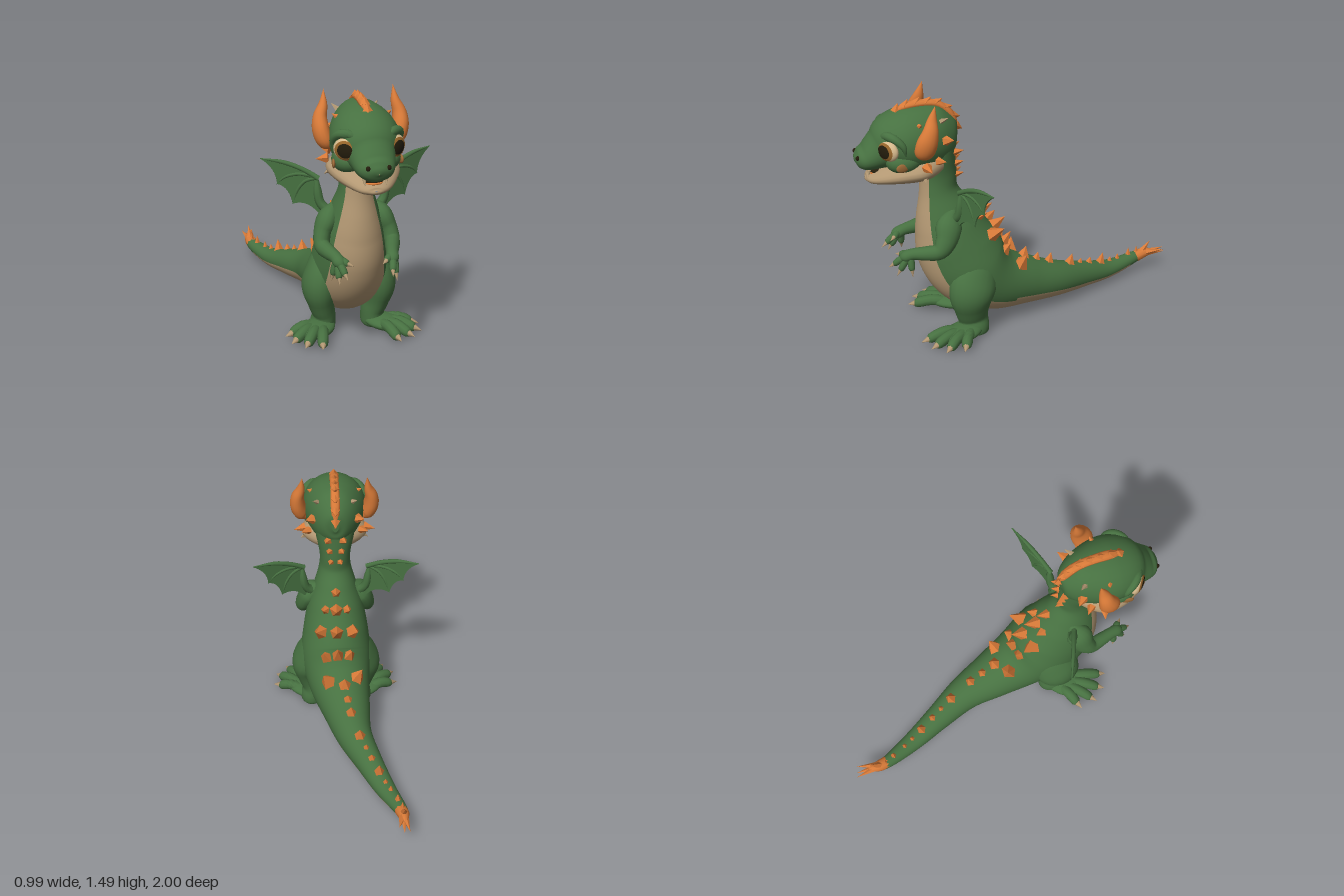
import * as THREE from 'three';

const mat = (name, color) => Object.assign(new THREE.MeshStandardMaterial({ color }), { name });
const V = (x, y, z) => new THREE.Vector3(x, y, z);

export function createModel() {
  const root = new THREE.Group();
  root.name = 'dragon';
  const green = mat('green skin', 0x477141);
  const tan = mat('tan belly and claws', 0xb39873);
  const orange = mat('orange horn', 0xd87a38);
  const dark = mat('dark pupil', 0x231c0c);
  const iris = mat('brown iris', 0x96652a);
  const cream = mat('cream eye', 0xd6b98c);
  const blush = mat('brown cheek', 0x9a6836);

  function add(name, geo, material) {
    const m = new THREE.Mesh(geo, material);
    m.name = name;
    root.add(m);
    return m;
  }

  // Smooth skin over stations [x, y, z, halfWidth, halfDepth]
  function skin(st) {
    const path = new THREE.CatmullRomCurve3(st.map(p => V(p[0], p[1], p[2])), false, 'catmullrom');
    const size = new THREE.CatmullRomCurve3(st.map(p => V(p[3], p[4], 0)), false, 'catmullrom');
    return (u, a) => {
      const c = path.getPoint(u), r = size.getPoint(u), t = path.getTangent(u);
      const s = V(1, 0, 0).addScaledVector(t, -t.x).normalize();
      const f = t.clone().cross(s);
      const normal = s.clone().multiplyScalar(Math.sin(a)).addScaledVector(f, Math.cos(a));
      const point = c.addScaledVector(s, Math.sin(a) * Math.max(r.x, 0.0005))
        .addScaledVector(f, Math.cos(a) * Math.max(r.y, 0.0005));
      return { point, normal };
    };
  }

  // isSecond(u, a) picks the faces that take the second material
  function loft(name, st, material, sides = 16, per = 4, isSecond = null) {
    const at = skin(st), rows = (st.length - 1) * per;
    const pos = [], faces = [[], []];
    for (let i = 0; i <= rows; i++)
      for (let j = 0; j < sides; j++) pos.push(...at(i / rows, (j / sides) * Math.PI * 2).point.toArray());
    for (let i = 0; i < rows; i++)
      for (let j = 0; j < sides; j++) {
        const k = (j + 1) % sides, a = i * sides + j, b = i * sides + k, c = a + sides, d = b + sides;
        const second = isSecond && isSecond(i / rows, ((j + 0.5) / sides) * Math.PI * 2);
        faces[second ? 1 : 0].push(a, c, b, b, c, d);
      }
    const g = new THREE.BufferGeometry();
    g.setAttribute('position', new THREE.Float32BufferAttribute(pos, 3));
    g.setIndex([...faces[0], ...faces[1]]);
    if (isSecond) {
      g.addGroup(0, faces[0].length, 0);
      g.addGroup(faces[0].length, faces[1].length, 1);
    }
    g.computeVertexNormals();
    add(name, g, material);
    return at;
  }

  // Cone from base to tip; few sides give a faceted spike
  function spike(name, base, tip, r, material, sides = 5) {
    const dir = tip.clone().sub(base), h = dir.length();
    let g = new THREE.ConeGeometry(r, h, sides);
    g.translate(0, h / 2, 0);
    if (sides < 6) { g = g.toNonIndexed(); g.computeVertexNormals(); }
    const m = add(name, g, material);
    m.quaternion.setFromUnitVectors(V(0, 1, 0), dir.normalize());
    m.position.copy(base);
  }

  function ball(name, p, s, material, turn = 0) {
    const m = add(name, new THREE.SphereGeometry(1, 24, 16), material);
    m.position.set(...p);
    m.scale.set(...s);
    m.rotation.y = turn;
  }

  // Toe or finger with a claw
  function digit(name, from, to, r, claw) {
    const mid = from.clone().lerp(to, 0.5).add(V(0, r * 0.5, 0)), d = to.clone().sub(from).normalize();
    const end = to.clone().addScaledVector(d, r * 0.6);
    loft(name, [[...from, r, r], [...mid, r, r], [...to, r * 0.85, r * 0.85], [...end, 0, 0]], green, 10, 3);
    spike(name + 'Claw', to, to.clone().addScaledVector(d, claw).add(V(0, -0.008, 0)), r * 0.7, tan, 8);
  }

  // Neck, torso and tail in one skin, tan underneath
  const spine = [
    [0, 1.27, .53, .135, .10], [0, 1.12, .53, .114, .106], [0, 1.0, .525, .093, .108], [0, .9, .525, .098, .113],
    [0, .79, .505, .13, .155], [0, .67, .475, .168, .20], [0, .52, .425, .198, .245], [0, .37, .34, .215, .245],
    [-.015, .265, .20, .19, .20], [-.05, .205, 0, .148, .15], [-.09, .16, -.2, .108, .112],
    [-.17, .118, -.4, .08, .083], [-.255, .085, -.6, .06, .055], [-.335, .10, -.8, .036, .035], [-.345, .12, -.87, .012, .012]];
  const last = spine.length - 1;
  const body = loft('body', spine, [green, tan], 48, 8,
    (u, a) => u < 12.6 / last && Math.cos(a) > THREE.MathUtils.lerp(.58, .32, THREE.MathUtils.smoothstep(u * last, 6.5, 8.5)));

  // Back spikes: [station, sideways angle, height, radius]
  const backSpikes = [[4.1, 0, .07, .034], [5, 0, .085, .044], [6, 0, .085, .046], [7.4, 0, .08, .042], [8.75, 0, .06, .046],
    [9.2, 0, .04, .035], [9.65, 0, .055, .038], [10.4, 0, .06, .04], [10.8, 0, .03, .025], [11.15, 0, .035, .03],
    [11.6, 0, .065, .035], [12, 0, .03, .022], [12.3, 0, .035, .02], [12.7, 0, .045, .022], [13.1, 0, .04, .016]];
  for (const s of [-1, 1]) backSpikes.push([5, s * .4, .05, .034], [6, s * .5, .085, .05], [7.4, s * .35, .055, .042],
    [8.5, s * .55, .08, .052], [.9, s * .4, .055, .03], [1.5, s * .35, .05, .027], [2.1, s * .3, .045, .025]);
  for (const [i, off, h, r] of backSpikes) {
    const { point, normal } = body(i / last, Math.PI + off);
    const dir = normal.clone().add(V(0, .35, -.2)).normalize();
    spike('backSpike', point.clone().addScaledVector(normal, -.014), point.clone().addScaledVector(dir, h), r, orange);
  }

  // Tail tuft
  loft('tailCap', [[-.333, .1, -.8, .038, .036], [-.343, .112, -.85, .034, .032], [-.345, .12, -.9, .02, .02], [-.345, .12, -.92, 0, 0]], orange, 10, 3);
  for (const t of [[-.37, .125, -1], [-.34, .11, -.995], [-.31, .14, -.98], [-.345, .195, -.9]])
    spike('tailSpike', V(-.343, .113, -.835), V(...t), .028, orange);

  // Skull and lower jaw
  const head = loft('head', [[0, 1.25, .41, .02, .04], [0, 1.25, .43, .075, .1], [0, 1.245, .5, .132, .17], [0, 1.24, .6, .174, .19],
    [0, 1.235, .7, .19, .185], [0, 1.222, .78, .174, .162], [0, 1.185, .85, .13, .118], [0, 1.15, .92, .11, .081],
    [0, 1.138, .965, .088, .062], [0, 1.133, .99, .05, .035], [0, 1.13, 1, .004, .004]], green, 28, 5);
  loft('jaw', [[0, 1.1, .46, .05, .03], [0, 1.09, .54, .14, .07], [0, 1.078, .63, .197, .08], [0, 1.065, .74, .187, .075],
    [0, 1.043, .83, .145, .056], [0, 1.024, .9, .095, .036], [0, 1.02, .935, .05, .02], [0, 1.022, .945, .005, .004]], tan, 24, 4);
  ball('mouth', [0, 1.06, .83], [.075, .03, .09], dark);
  ball('tongue', [0, 1.054, .87], [.06, .014, .056], orange);

  // Crest over the head
  const crest = [[0, 1.39, .78], [0, 1.425, .7], [0, 1.435, .6], [0, 1.42, .51], [0, 1.345, .435], [0, 1.24, .41]];
  loft('crest', crest.map((p, i) => [...p, i % 5 ? .027 : .006, i % 5 ? .02 : .006]), orange, 10, 4);
  const crestLine = new THREE.CatmullRomCurve3(crest.map(p => V(...p)));
  for (let i = 0; i < 8; i++) {
    const u = .07 + i * .122, p = crestLine.getPoint(u), t = crestLine.getTangent(u);
    const up = V(0, -t.z, t.y);
    spike('crestSpike', p, p.clone().addScaledVector(up, .036).addScaledVector(t, .03), .03, orange);
  }

  for (const s of [-1, 1]) {
    const S = (x, y, z) => V(x * s, y, z);
    const side = list => list.map(([x, ...rest]) => [x * s, ...rest]);

    // Flat almond eye set at an angle, with iris and pupil caps turned forwards
    for (const [name, grow, angle, m] of [['eye', 1, Math.PI, cream], ['iris', 1.03, 1.0, iris], ['pupil', 1.06, .66, dark]]) {
      const g = new THREE.SphereGeometry(grow, 28, 16, 0, Math.PI * 2, 0, angle);
      g.rotateX(Math.PI / 2).rotateY(-s * .22);
      const e = add(name, g, m);
      e.position.set(s * .138, 1.225, .824);
      e.rotation.y = s * .72;
      e.scale.set(.068, .061, .034);
    }
    loft('brow', side([[.05, 1.26, .85, .004, .004], [.08, 1.288, .845, .018, .02], [.125, 1.308, .825, .024, .026],
      [.165, 1.297, .785, .024, .024], [.183, 1.255, .745, .018, .018], [.18, 1.2, .735, .004, .004]]), green, 10, 4);
    ball('cheek', [s * .1, 1.145, .735], [.088, .075, .105], green);
    ball('nostril', head(.852, s * .95).point.toArray(), [.012, .014, .012], dark, s * .5);
    ball('cheekPatch', [s * .183, 1.132, .755], [.01, .026, .038], blush, s * .2);
    spike('tooth', S(.06, 1.09, .925), S(.058, 1.045, .93), .012, cream, 8);

    // Horns, cheek and head spikes
    loft('horn', side([[.165, 1.19, .64, .02, .03], [.2, 1.22, .635, .043, .055], [.22, 1.28, .62, .046, .06],
      [.22, 1.345, .6, .038, .046], [.2, 1.41, .585, .024, .028], [.192, 1.49, .565, 0, 0]]), orange, 16, 5);
    spike('cheekSpike', S(.18, 1.12, .62), S(.246, 1.112, .6), .032, orange);
    spike('cheekSpike', S(.155, 1.14, .55), S(.2, 1.15, .51), .026, orange);
    spike('templeSpike', S(.13, 1.25, .5), S(.175, 1.265, .46), .032, orange);
    spike('browSpike', S(.13, 1.35, .65), S(.165, 1.37, .64), .022, orange);
    spike('jawSpike', S(.175, 1.055, .63), S(.206, 1.035, .63), .017, tan);
    spike('crownSpike', S(.09, 1.345, .53), S(.132, 1.385, .48), .022, tan);

    // Hind legs and feet
    loft('leg', side([[.07, .52, .27, .01, .02], [.112, .46, .31, .07, .10], [.152, .36, .355, .094, .138], [.174, .27, .378, .1, .133],
      [.162, .17, .375, .076, .103], [.145, .1, .365, .066, .09], [.15, .04, .36, .072, .09], [.15, .006, .36, .06, .075],
      [.15, .004, .36, 0, 0]]), green, 20, 4);
    ball('foot', [s * .2, .043, .44], [.095, .04, .14], green, s * .6);
    for (const [x, z] of [[.215, .64], [.29, .605], [.34, .54], [.345, .45]])
      digit('toe', S(.15 + (x - .15) * .35, .042, .37 + (z - .37) * .35), S(x, .034, z), .033, .055);

    // Arms and hands
    loft('arm', side([[.1, .8, .46, .02, .02], [.15, .735, .495, .058, .075], [.188, .655, .52, .05, .065], [.2, .595, .565, .044, .05],
      [.18, .582, .64, .04, .042], [.16, .577, .71, .034, .034], [.148, .56, .76, .034, .032], [.14, .54, .79, .004, .004]]), green, 16, 4);
    for (const [x, y, z] of [[.11, .56, .775], [.135, .518, .815], [.16, .49, .785], [.178, .49, .725]])
      digit('finger', S(.157, .562, .73), S(x, y, z), .021, .042);

    // Wing membrane swept backwards, with finger bones
    const sweep = x => .46 - .44 * (Math.abs(x) - .15);
    const shape = new THREE.Shape();
    shape.moveTo(s * .14, .74);
    shape.quadraticCurveTo(s * .21, .85, s * .2, .95);
    shape.quadraticCurveTo(s * .34, 1.035, s * .49, 1.042);
    shape.quadraticCurveTo(s * .41, .99, s * .405, .9);
    shape.quadraticCurveTo(s * .345, .89, s * .325, .79);
    shape.quadraticCurveTo(s * .25, .82, s * .19, .74);
    const g = new THREE.ExtrudeGeometry(shape, { depth: .008, bevelEnabled: false, curveSegments: 10 });
    const p = g.attributes.position;
    for (let i = 0; i < p.count; i++) p.setZ(i, p.getZ(i) - .004 + sweep(p.getX(i)));
    g.computeVertexNormals();
    add('wingMembrane', g, green);
    const bone = (pts, r) => loft('wingBone', pts.map(([x, y], i) => {
      const w = i === pts.length - 1 ? .002 : r * (1 - .5 * i / pts.length);
      return [x * s, y, sweep(x), w, w];
    }), green, 8, 4);
    bone([[.12, .74], [.18, .8], [.197, .88], [.2, .97]], .03);
    bone([[.19, .945], [.27, .992], [.37, 1.028], [.492, 1.043]], .016);
    bone([[.2, .955], [.29, .965], [.36, .945], [.408, .898]], .012);
    bone([[.2, .95], [.26, .925], [.3, .87], [.325, .788]], .012);
  }
  return root;
}
